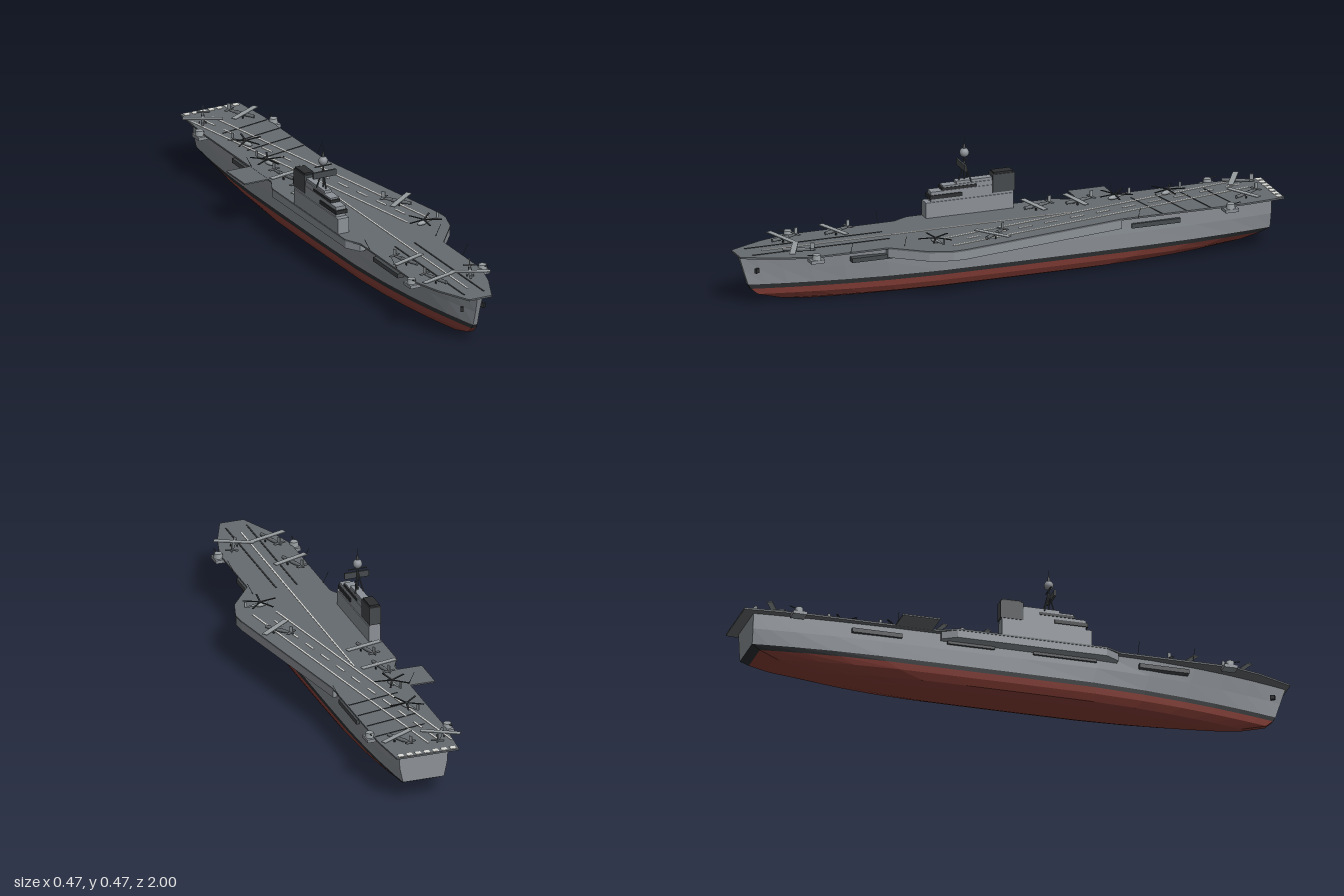
import * as THREE from 'three';

const mat = (name, color) => Object.assign(new THREE.MeshStandardMaterial({ color }), { name });

export function createModel() {
  const M = {
    hull: mat('hullGrey', 0x8c9197), deck: mat('deckGrey', 0x666b6f), red: mat('bottomRed', 0x8a4038),
    black: mat('bootBlack', 0x2c2e30), dark: mat('darkGrey', 0x45494c), white: mat('markingWhite', 0xdcdcd8),
    plane: mat('aircraftGrey', 0x969c9f),
  };
  const ship = new THREE.Group();
  ship.name = 'aircraftCarrier';

  const add = (parent, name, geo, m, x = 0, y = 0, z = 0, ry = 0) => {
    const o = new THREE.Mesh(geo, m);
    o.name = name;
    o.position.set(x, y, z);
    o.rotation.y = ry;
    parent.add(o);
    return o;
  };
  const box = (parent, name, m, w, h, d, x, y, z, ry = 0) =>
    add(parent, name, new THREE.BoxGeometry(w, h, d), m, x, y, z, ry);
  const cyl = (parent, name, m, r1, r2, h, x, y, z, n = 8) =>
    add(parent, name, new THREE.CylinderGeometry(r1, r2, h, n), m, x, y, z);
  const rod = (parent, name, m, a, b, r) => {
    const p = new THREE.Vector3(...a), q = new THREE.Vector3(...b), d = q.clone().sub(p);
    const o = cyl(parent, name, m, r, r, d.length(), ...p.add(q).multiplyScalar(0.5).toArray(), 6);
    o.quaternion.setFromUnitVectors(new THREE.Vector3(0, 1, 0), d.normalize());
  };
  // horizontal slab from an (x, z) outline
  const slab = (name, m, pts, y0, y1) => {
    const shape = new THREE.Shape(pts.map(([x, z]) => new THREE.Vector2(x, -z)));
    const geo = new THREE.ExtrudeGeometry(shape, { depth: y1 - y0, bevelEnabled: false });
    add(ship, name, geo.rotateX(-Math.PI / 2), m, 0, y0, 0);
  };

  // hull: horizontal rows [y, half width, bow z, stern z, bow tip, stern taper, bow length]
  const CX = -0.013;
  const rows = [
    [0.188, 0.114, 0.99, -0.96, 0.09, 0.8, 0.34],
    [0.13, 0.112, 0.972, -0.96, 0.07, 0.78, 0.38],
    [0.076, 0.108, 0.955, -0.96, 0.08, 0.7, 0.42],
    [0.06, 0.106, 0.945, -0.93, 0.09, 0.64, 0.42],
    [0.038, 0.1, 0.92, -0.86, 0.1, 0.55, 0.42],
    [0.014, 0.085, 0.83, -0.72, 0.12, 0.4, 0.42],
    [0.002, 0.056, 0.74, -0.6, 0.12, 0.3, 0.42],
  ];
  const stations = [0, 0.03, 0.07, 0.12, 0.18, 0.26, 0.36, 0.5, 0.65, 0.76, 0.85, 0.92, 0.97, 1];
  const point = ([y, w, zb, zs, tip, tail, len], u, side) => {
    const bow = Math.min(1, u / len), aft = Math.max(0, (u - 0.7) / 0.3);
    const f = (tip + (1 - tip) * (1 - (1 - bow) ** 2)) * (1 - (1 - tail) * aft ** 2.2);
    return [CX + side * w * f, y, zb + (zs - zb) * u];
  };
  const loop = r => [...stations.map(u => point(r, u, 1)), ...[...stations].reverse().map(u => point(r, u, -1))];
  const faces = (name, m, quads) => {
    const pos = quads.flatMap(([a, b, c, d]) => [a, b, c, a, c, d]).flat();
    const g = new THREE.BufferGeometry();
    g.setAttribute('position', new THREE.Float32BufferAttribute(pos, 3));
    g.computeVertexNormals();
    add(ship, name, g, m);
  };
  const band = (j0, j1) => {
    const quads = [];
    for (let j = j0; j < j1; j++) {
      const a = loop(rows[j]), b = loop(rows[j + 1]);
      a.forEach((p, i) => {
        const k = (i + 1) % a.length;
        quads.push([p, b[i], b[k], a[k]]);
      });
    }
    return quads;
  };
  faces('upperHull', M.hull, band(0, 2));
  faces('waterlineBand', M.black, band(2, 3));
  const keel = rows[6];
  const bottom = stations.slice(1).map((u, i) => [point(keel, stations[i], 1), point(keel, stations[i], -1),
    point(keel, u, -1), point(keel, u, 1)]);
  faces('lowerHull', M.red, [...band(3, 6), ...bottom]);

  // flight deck, its side supports and the deck edge lift
  slab('flightDeck', M.deck, [[-0.13, -1], [0.1, -1], [0.115, -0.85], [0.116, -0.39], [0.23, 0.23], [0.232, 0.28],
    [0.207, 0.36], [0.116, 0.48], [0.116, 0.76], [0.085, 0.87], [0.03, 0.997], [-0.058, 0.997], [-0.115, 0.87],
    [-0.146, 0.76], [-0.146, 0.36], [-0.175, 0.3], [-0.175, -0.24], [-0.146, -0.3], [-0.146, -0.8]], 0.186, 0.192);
  slab('angledDeckSupport', M.hull, [[0.095, -0.39], [0.114, -0.39], [0.228, 0.23], [0.23, 0.28], [0.205, 0.36],
    [0.112, 0.48], [0.095, 0.48]], 0.155, 0.186);
  slab('islandSupport', M.hull, [[-0.12, -0.29], [-0.144, -0.29], [-0.173, -0.24], [-0.173, 0.3], [-0.144, 0.35],
    [-0.12, 0.35]], 0.159, 0.186);
  box(ship, 'deckLift', M.deck, 0.094, 0.005, 0.135, -0.191, 0.189, -0.39);

  // side galleries and anchors
  for (const [z, len] of [[0.52, 0.18], [0.16, 0.23], [-0.18, 0.17], [-0.52, 0.18]])
    for (const s of [-1, 1]) box(ship, 'sideGallery', M.dark, 0.025, 0.016, len, CX + s * 0.109, 0.157, z);
  for (const s of [-1, 1]) box(ship, 'anchor', M.black, 0.01, 0.016, 0.016, CX + s * 0.041, 0.135, 0.935, s * 0.5);

  // deck markings
  const strip = (name, m, x0, z0, x1, z1, w) => box(ship, name, m, w, 0.002, Math.hypot(x1 - x0, z1 - z0),
    (x0 + x1) / 2, 0.1925, (z0 + z1) / 2, Math.atan2(x1 - x0, z1 - z0));
  const dashes = (name, x0, z0, x1, z1, n, w, fill) => {
    for (let i = 0; i < n; i++) {
      const a = i / n, b = (i + fill) / n;
      strip(name, M.white, x0 + (x1 - x0) * a, z0 + (z1 - z0) * a, x0 + (x1 - x0) * b, z0 + (z1 - z0) * b, w);
    }
  };
  strip('landingLineLeft', M.white, -0.13, -0.92, 0.09, 0.26, 0.006);
  strip('landingLineRight', M.white, -0.045, -0.92, 0.175, 0.26, 0.006);
  dashes('landingCentreLine', -0.085, -0.9, 0.13, 0.24, 11, 0.006, 0.5);
  strip('bowLine', M.white, -0.014, -0.25, -0.014, 0.9, 0.005);
  for (let i = 0; i < 7; i++) box(ship, 'sternMark', M.white, 0.02, 0.002, 0.02, -0.112 + i * 0.032, 0.1925, -0.985);
  for (const x of [-0.053, 0.024]) strip('catapultTrack', M.black, x, 0.44, x, 0.95, 0.006);
  for (const z of [-0.77, -0.68, -0.59, -0.5]) strip('arrestingWire', M.black, -0.085, z, 0.11, z - 0.04, 0.004);

  // island: stepped tiers with window bands, funnel
  const IX = -0.152;
  const tiers = [ // width, y0, y1, front z, material
    [0.044, 0.19, 0.248, 0.245, M.hull], [0.038, 0.248, 0.285, 0.225, M.hull], [0.034, 0.285, 0.302, 0.18, M.hull],
    [0.028, 0.302, 0.312, 0.13, M.hull]];
  const island = new THREE.Group();
  island.name = 'island';
  ship.add(island);
  for (const [w, y0, y1, zf, m] of tiers) box(island, 'islandTier', m, w, y1 - y0, zf + 0.08, IX, (y0 + y1) / 2, (zf - 0.08) / 2);
  box(island, 'bridgeWindows', M.black, 0.046, 0.014, 0.12, IX, 0.266, 0.171);
  box(island, 'upperWindows', M.black, 0.038, 0.01, 0.13, IX, 0.291, 0.12);
  box(island, 'funnel', M.dark, 0.042, 0.066, 0.082, IX, 0.289, -0.044);
  box(island, 'funnelCap', M.black, 0.036, 0.008, 0.07, IX, 0.325, -0.044);

  // mast, radars and radome
  const MZ = 0.095;
  rod(island, 'mast', M.dark, [IX, 0.3, MZ], [IX, 0.4, MZ], 0.003);
  for (const [dx, dz] of [[-0.016, -0.02], [0.016, -0.02], [0, 0.022]])
    rod(island, 'mastLeg', M.dark, [IX + dx, 0.305, MZ + dz], [IX, 0.38, MZ], 0.0025);
  box(island, 'searchRadar', M.dark, 0.09, 0.023, 0.007, IX, 0.364, MZ + 0.01);
  box(island, 'yard', M.dark, 0.068, 0.003, 0.004, IX, 0.391, MZ);
  add(island, 'radome', new THREE.SphereGeometry(0.017, 12, 8), M.hull, IX, 0.41, MZ);
  cyl(island, 'mastTop', M.dark, 0.003, 0.006, 0.018, IX, 0.435, MZ);
  rod(island, 'mastTip', M.dark, [IX, 0.44, MZ], [IX, 0.468, MZ], 0.001);

  // corner gun mounts and edge aerials
  for (const [x, z] of [[-0.155, -0.81], [0.125, -0.79], [-0.155, 0.75], [0.125, 0.75]]) {
    const s = Math.sign(x), dir = Math.sign(z);
    box(ship, 'gunPlatform', M.hull, 0.042, 0.012, 0.05, x - s * 0.004, 0.18, z);
    cyl(ship, 'gunTurret', M.plane, 0.014, 0.017, 0.018, x, 0.194, z, 10);
    rod(ship, 'gunBarrel', M.dark, [x, 0.198, z], [x + s * 0.005, 0.206, z + dir * 0.035], 0.002);
  }
  for (const z of [-0.45, 0.42, 0.62]) for (const s of [-1, 1])
    rod(ship, 'aerial', M.dark, [CX + s * 0.128, 0.188, z], [CX + s * 0.15, 0.233, z], 0.0009);

  const craft = (name, x, z, ry) => {
    const g = new THREE.Group();
    g.name = name;
    g.position.set(x, 0.192, z);
    g.rotation.y = ry;
    ship.add(g);
    return g;
  };
  const body = (g, m, r0, r1, len, y, z) => cyl(g, 'fuselage', m, r0, r1, len, 0, y, z).rotateX(Math.PI / 2);

  // parked aeroplanes
  for (const [x, z, ry] of [[-0.1, -0.89, -0.5], [0.05, -0.87, 0.5], [-0.09, -0.3, 0.22], [-0.09, -0.145, 0.25],
    [0.145, 0.1, 0.65], [-0.09, 0.6, 0.35], [-0.08, 0.8, 0.3], [0.05, 0.8, -0.45]]) {
    const g = craft('aeroplane', x, z, ry);
    body(g, M.deck, 0.006, 0.007, 0.07, 0.012, 0.01);
    body(g, M.deck, 0.007, 0.003, 0.045, 0.013, -0.047);
    box(g, 'wing', M.plane, 0.14, 0.003, 0.02, 0, 0.018, 0.005);
    box(g, 'tailplane', M.deck, 0.045, 0.002, 0.012, 0, 0.016, -0.06);
    box(g, 'fin', M.plane, 0.003, 0.022, 0.014, 0, 0.027, -0.06);
    for (const s of [-1, 1]) box(g, 'wheel', M.black, 0.003, 0.008, 0.006, s * 0.012, 0.004, 0.005);
  }

  // parked helicopters
  for (const [x, z, ry] of [[-0.07, -0.63, 0.4], [-0.085, -0.44, 0.2], [0.13, 0.31, -1.4]]) {
    const g = craft('helicopter', x, z, ry);
    const cabin = add(g, 'cabin', new THREE.SphereGeometry(0.01, 10, 6), M.plane, 0, 0.01, 0.006);
    cabin.scale.set(0.9, 0.8, 2.4);
    body(g, M.plane, 0.005, 0.002, 0.05, 0.013, -0.035);
    box(g, 'tailFin', M.plane, 0.003, 0.02, 0.01, 0, 0.024, -0.058);
    rod(g, 'rotorHub', M.dark, [0, 0.014, 0], [0, 0.023, 0], 0.003);
    for (let i = 0; i < 5; i++) {
      const a = i * Math.PI * 0.4;
      box(g, 'rotorBlade', M.black, 0.006, 0.002, 0.062, Math.sin(a) * 0.031, 0.021, Math.cos(a) * 0.031, a);
    }
  }
  return ship;
}
